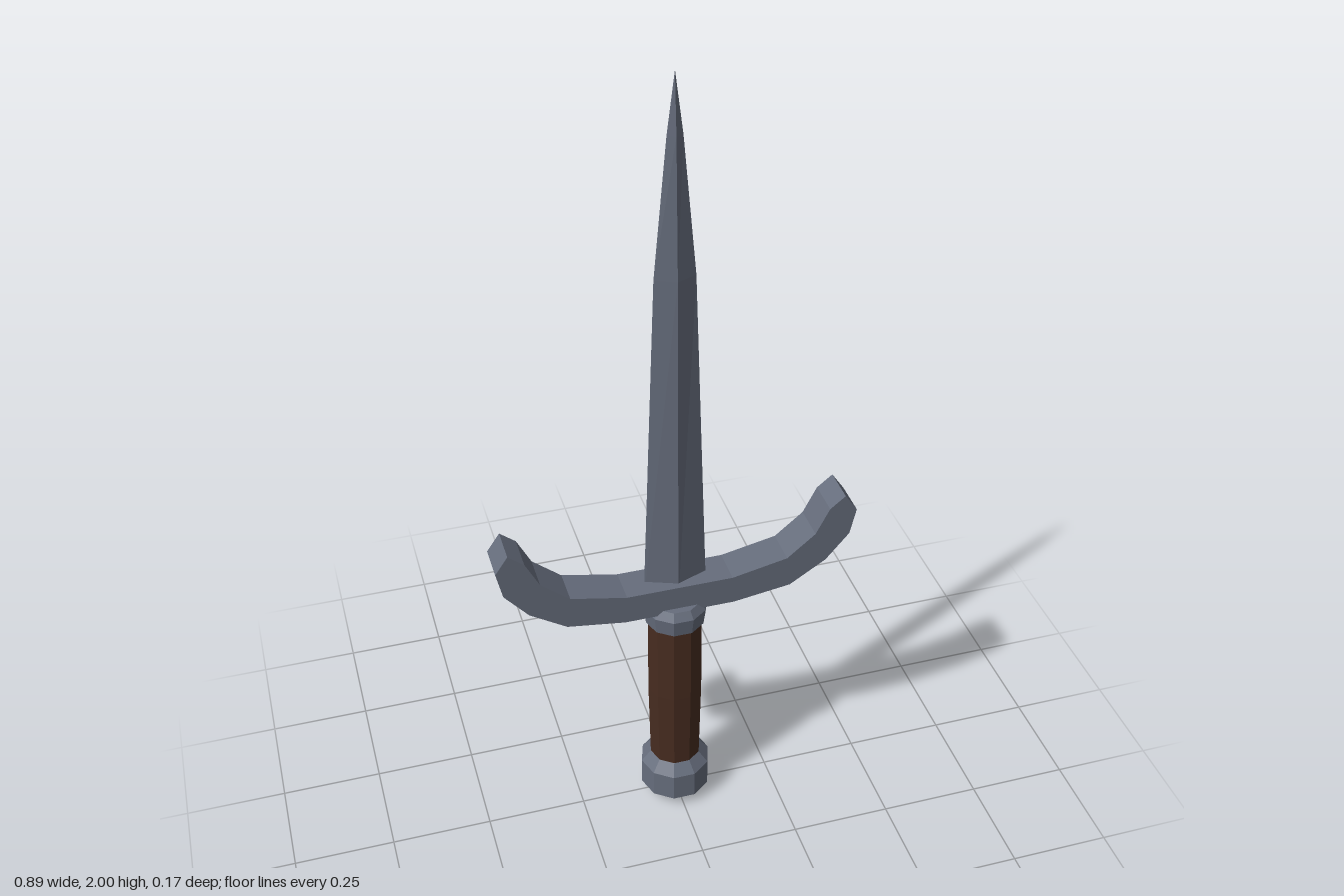
import * as THREE from 'three';

export function createModel() {
  const dagger = new THREE.Group();
  dagger.name = 'dagger';

  const steel = new THREE.MeshStandardMaterial({ color: 0x666d7c, flatShading: true });
  steel.name = 'steel';
  const leather = new THREE.MeshStandardMaterial({ color: 0x472c20, flatShading: true });
  leather.name = 'brown leather';

  const add = (name, geometry, material) => {
    const mesh = new THREE.Mesh(geometry, material);
    mesh.name = name;
    dagger.add(mesh);
    return mesh;
  };

  // Ten-sided turned part from [radius, y] pairs, corners on the x axis
  const turned = (name, profile, material) => {
    const points = profile.map(([r, y]) => new THREE.Vector2(r, y));
    add(name, new THREE.LatheGeometry(points, 10, Math.PI / 2), material);
  };

  turned('pommel', [[0, 0], [0.05, 0], [0.09, 0.03], [0.09, 0.105], [0.065, 0.135], [0, 0.135]], steel);
  turned('grip', [[0, 0.12], [0.065, 0.12], [0.07, 0.36], [0.069, 0.59], [0, 0.59]], leather);
  turned('collar', [[0, 0.577], [0.074, 0.577], [0.08, 0.622], [0.066, 0.643], [0, 0.643]], steel);

  // Upswept crossguard: half outline from the lower middle round the tip, then mirrored
  const half = [
    [0.137, 0.63], [0.28, 0.651], [0.37, 0.709], [0.428, 0.778], [0.443, 0.847],
    [0.412, 0.893], [0.374, 0.862], [0.34, 0.794], [0.27, 0.735], [0.132, 0.706],
  ];
  const mirrored = half.map(([x, y]) => [-x, y]).reverse();
  const outline = new THREE.Shape([...half, ...mirrored].map(([x, y]) => new THREE.Vector2(x, y)));
  const guard = new THREE.ExtrudeGeometry(outline, { depth: 0.092, bevelEnabled: false });
  guard.translate(0, 0, -0.046);
  add('crossguard', guard, steel);

  // Blade: diamond cross-sections [y, half width, half thickness] narrowing to a point
  const sections = [[0.65, 0.079, 0.03], [1.53, 0.048, 0.022], [1.86, 0.018, 0.011], [2, 0, 0]];
  const positions = [];
  const corner = ([y, w, t], i) => [[w, y, 0], [0, y, t], [-w, y, 0], [0, y, -t]][i % 4];
  for (let s = 0; s < sections.length - 1; s++) {
    const low = sections[s], high = sections[s + 1];
    for (let i = 0; i < 4; i++) {
      const a = corner(low, i), b = corner(low, i + 1);
      const c = corner(high, i + 1), d = corner(high, i);
      positions.push(...a, ...d, ...b);
      if (high[1] > 0) positions.push(...b, ...d, ...c);
    }
  }
  // Corners run from +x to +z, so each face is ordered lower, upper, next lower
  const blade = new THREE.BufferGeometry();
  blade.setAttribute('position', new THREE.Float32BufferAttribute(positions, 3));
  blade.computeVertexNormals();
  add('blade', blade, steel);

  return dagger;
}
